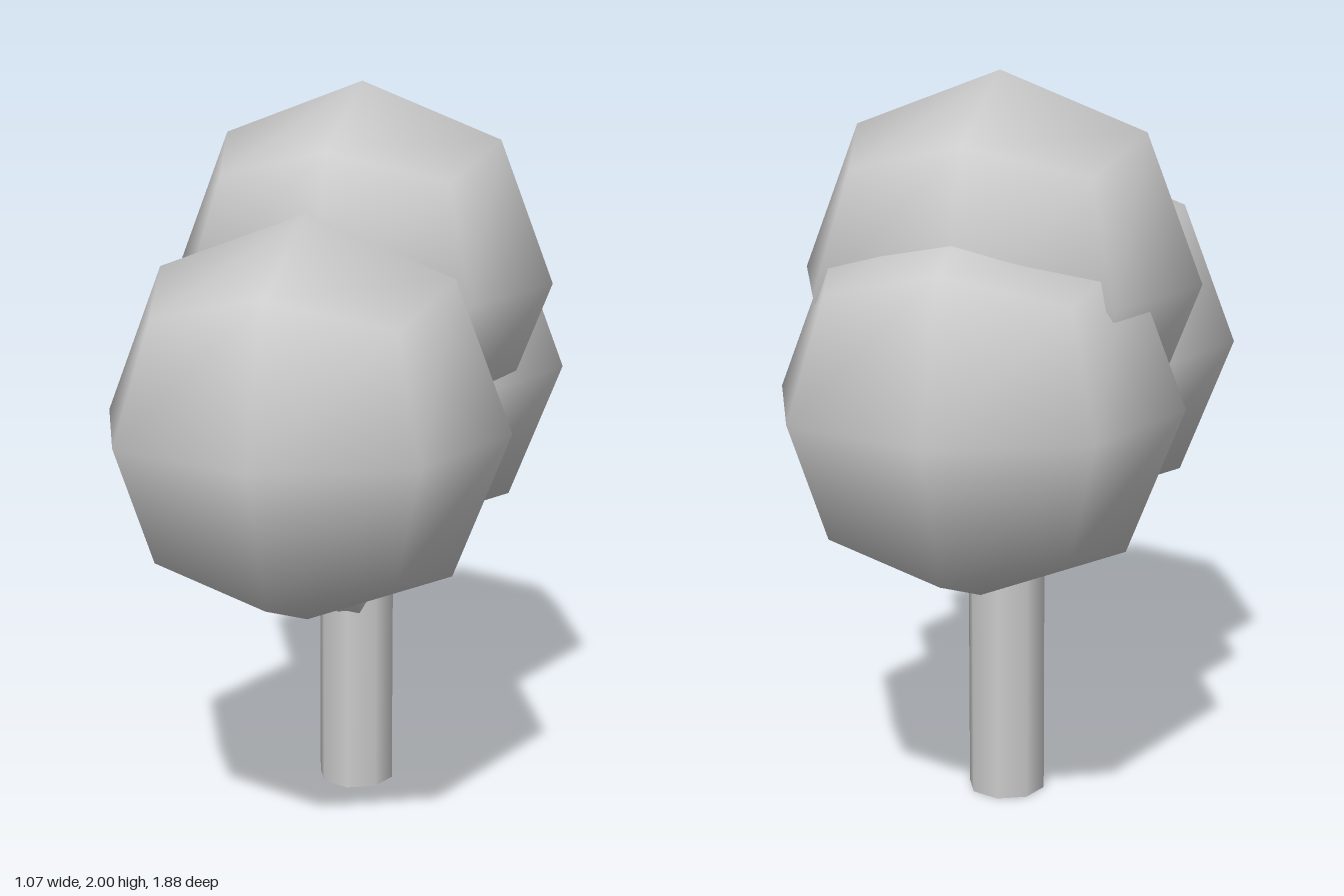
import * as THREE from 'three';

const material = new THREE.MeshStandardMaterial({ color: 0xcccccc });

function addPart(group, name, geometry, x, y, z) {
  const mesh = new THREE.Mesh(geometry, material);
  mesh.name = name;
  mesh.position.set(x, y, z);
  group.add(mesh);
  return mesh;
}

// Rounded cube: each side is split 2 x 2 and pushed out to a sphere, with smooth radial normals
function foliageGeometry() {
  const geometry = new THREE.BoxGeometry(2, 2, 2, 2, 2, 2);
  const { position, normal } = geometry.attributes;
  const scaleByKind = { 1: 0.535, 2: 0.386, 3: 0.31 }; // side centre, edge middle, corner
  const v = new THREE.Vector3();
  for (let i = 0; i < position.count; i++) {
    v.fromBufferAttribute(position, i).round();
    v.multiplyScalar(scaleByKind[v.lengthSq()]);
    position.setXYZ(i, v.x, v.y, v.z);
    v.normalize();
    normal.setXYZ(i, v.x, v.y, v.z);
  }
  return geometry;
}

export function createModel() {
  const tree = new THREE.Group();
  tree.name = 'tree';

  // Upright trunk running into the foliage
  addPart(tree, 'trunk', new THREE.CylinderGeometry(0.107, 0.107, 1.2, 8), 0, 0.6, -0.127);

  // Slanting side branch, from inside the trunk to inside the front foliage
  const branch = new THREE.CylinderGeometry(0.065, 0.065, 0.6, 6);
  branch.rotateY(Math.PI / 2);
  branch.rotateX(THREE.MathUtils.degToRad(57));
  addPart(tree, 'branch', branch, 0, 0.7, 0.13);

  // Three equal balls of leaves
  const ball = foliageGeometry();
  addPart(tree, 'frontFoliage', ball, 0, 1.188, 0.405);
  addPart(tree, 'backFoliage', ball, 0, 1.188, -0.405);
  addPart(tree, 'topFoliage', ball, 0, 1.465, -0.187);

  return tree;
}
